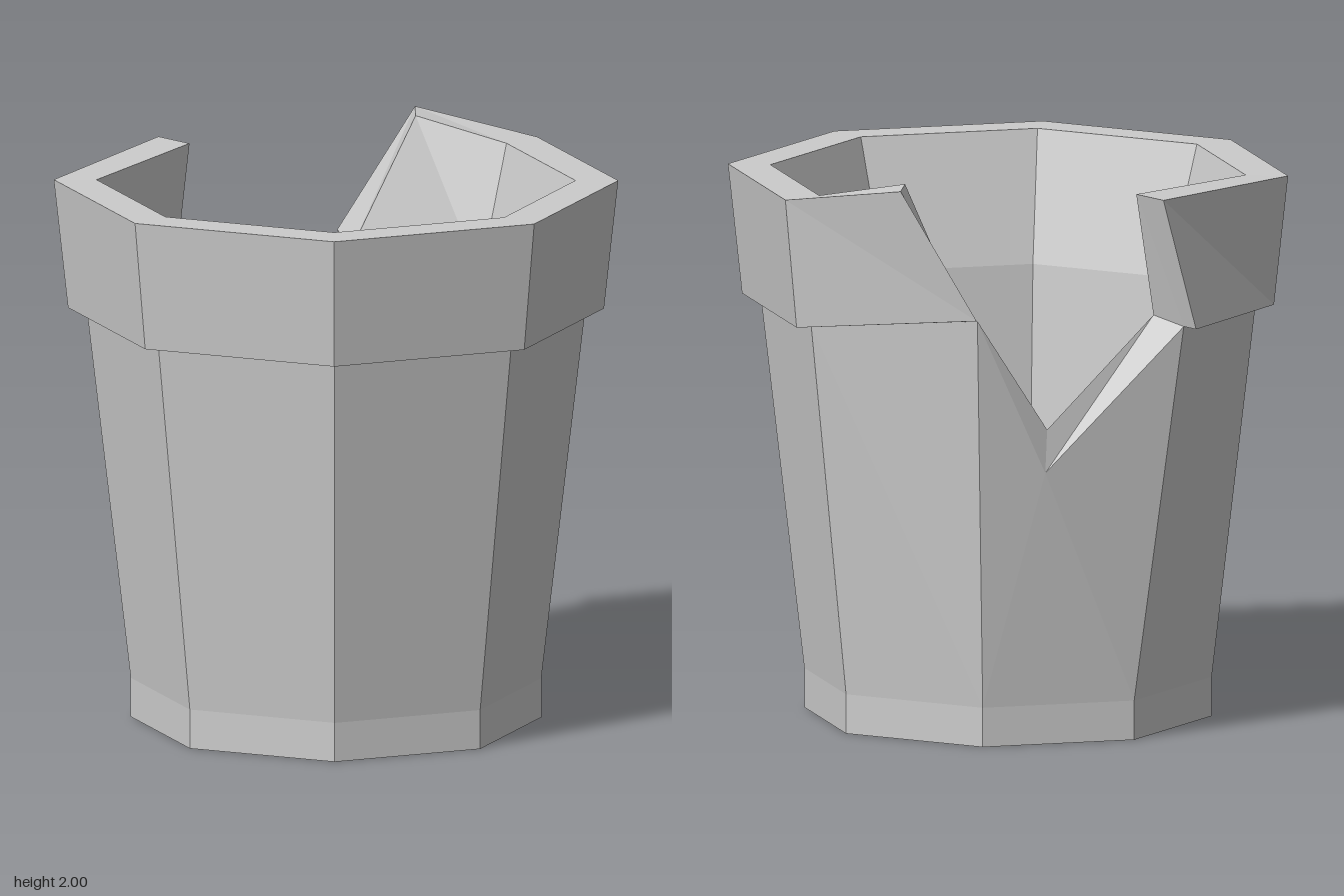
import * as THREE from 'three';

const SIDES = 8;
const CENTRE_Z = -0.033;

// Eight corners, from the back-left corner round the front to the back corner.
// first / last replace the corners beside the break.
function ring(radius, y, first, last) {
  const pts = [];
  for (let k = 1; k <= SIDES; k++) {
    const a = (k * Math.PI * 2) / SIDES;
    pts.push([radius * Math.sin(a), y, CENTRE_Z - radius * Math.cos(a)]);
  }
  if (first) pts[0] = first;
  if (last) pts[SIDES - 1] = last;
  return pts;
}

// Flat polygon as a triangle fan
function fan(out, ...p) {
  for (let i = 1; i < p.length - 1; i++) out.push(...p[0], ...p[i], ...p[i + 1]);
}

// Panels joining two rings; a closed strip also spans the break side
function strip(out, a, b, closed) {
  const n = closed ? SIDES : SIDES - 1;
  for (let i = 0; i < n; i++) {
    const j = (i + 1) % SIDES;
    fan(out, a[i], b[i], b[j], a[j]);
  }
}

export function createModel() {
  const group = new THREE.Group();
  const material = new THREE.MeshStandardMaterial({ color: 0xcccccc, flatShading: true });

  const addPart = (name, build) => {
    const out = [];
    build(out);
    const geometry = new THREE.BufferGeometry();
    geometry.setAttribute('position', new THREE.Float32BufferAttribute(out, 3));
    geometry.computeVertexNormals();
    const mesh = new THREE.Mesh(geometry, material);
    mesh.name = name;
    group.add(mesh);
  };

  // Cross-sections, from the underside up the outside and down the inside
  const under = ring(0.56, 0.02);
  const base = ring(0.72, 0);
  const foot = ring(0.72, 0.14);
  const shoulder = ring(0.875, 1.47, [0.605, 1.54, -0.635], [-0.11, 1.48, -0.895]);
  const rimBottom = ring(0.94, 1.47, [0.64, 1.55, -0.675], [-0.11, 1.48, -0.965]);
  const rimTop = ring(0.99, 1.93, [0.81, 2, -0.46], [0, 1.945, -0.92]);
  const lip = ring(0.84, 1.93, [0.705, 2, -0.35], [0, 1.945, -0.765]);
  const bend = ring(0.71, 1.47, [0.58, 1.5, -0.55], [-0.1, 1.5, -0.735]);
  const floor = ring(0.585, 0.14);

  // Lowest point of the broken notch, outside and inside
  const notchOut = [0.35, 0.98, -0.695];
  const notchIn = [0.33, 1.13, -0.68];
  const end = SIDES - 1;

  addPart('base', (out) => {
    fan(out, ...under);
    strip(out, under, base, true);
  });

  addPart('foot', (out) => strip(out, base, foot, true));

  addPart('outerWall', (out) => {
    strip(out, foot, shoulder, false);
    fan(out, foot[end], shoulder[end], notchOut);
    fan(out, foot[end], notchOut, foot[0]);
    fan(out, foot[0], notchOut, shoulder[0]);
  });

  addPart('rim', (out) => {
    const sections = [shoulder, rimBottom, rimTop, lip, bend];
    for (let i = 0; i < sections.length - 1; i++) strip(out, sections[i], sections[i + 1], false);
    // Broken ends of the rim
    fan(out, ...sections.map((s) => s[end]));
    fan(out, ...sections.map((s) => s[0]).reverse());
  });

  addPart('innerWall', (out) => {
    strip(out, bend, floor, false);
    fan(out, bend[end], floor[end], notchIn);
    fan(out, floor[end], floor[0], notchIn);
    fan(out, floor[0], bend[0], notchIn);
  });

  addPart('brokenEdge', (out) => {
    fan(out, notchOut, shoulder[end], bend[end], notchIn);
    fan(out, shoulder[0], notchOut, notchIn, bend[0]);
  });

  addPart('floor', (out) => fan(out, ...[...floor].reverse()));

  return group;
}
